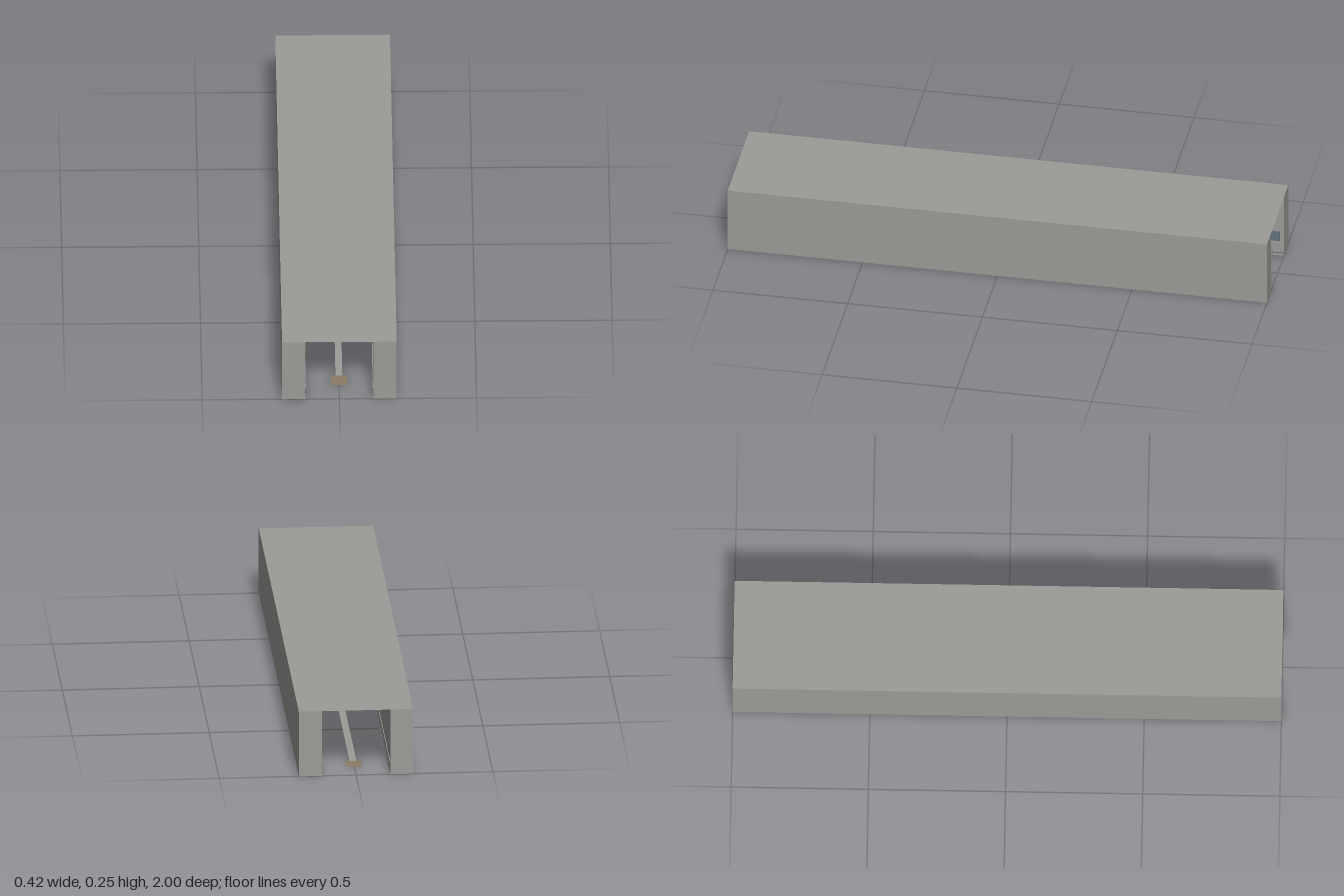
import * as THREE from 'three';

export function createModel() {
  const root = new THREE.Group();
  root.name = 'corridor';

  const make = (name, color, extra = {}) =>
    Object.assign(new THREE.MeshStandardMaterial({ color, ...extra }), { name });
  const concrete = make('concrete grey', 0x9c9b97);
  const sheet = make('sheet grey', 0x9c9b97, { side: THREE.DoubleSide });
  const steel = make('steel blue', 0x5a6165);
  const signBlue = make('sign blue', 0x64737e);
  const tan = make('tan', 0x8c7c66);
  const tanSheet = make('tan sheet', 0x8c7c66, { side: THREE.DoubleSide });

  const box = (parent, name, mat, w, h, d, x, y, z) => {
    const m = new THREE.Mesh(new THREE.BoxGeometry(w, h, d), mat);
    m.name = name;
    m.position.set(x, y, z);
    parent.add(m);
    return m;
  };
  const flat = (name, mat, w, d, y, z) => {
    const m = new THREE.Mesh(new THREE.PlaneGeometry(w, d).rotateX(-Math.PI / 2), mat);
    m.name = name;
    m.position.set(0, y, z);
    root.add(m);
  };

  // Thick side walls with rails and signs; the second is the first turned half way round
  for (const angle of [0, Math.PI]) {
    const side = new THREE.Group();
    side.name = angle ? 'leftSide' : 'rightSide';
    side.rotation.y = angle;
    box(side, 'wall', concrete, 0.084, 0.25, 2, -0.167, 0.125, 0);
    box(side, 'handRail', concrete, 0.003, 0.004, 2, -0.1238, 0.051, 0);
    box(side, 'skirting', concrete, 0.003, 0.009, 2, -0.1238, 0.0045, 0);
    box(side, 'skirtingStripe', steel, 0.002, 0.002, 2, -0.1243, 0.01, 0);
    // Thin wall plates
    box(side, 'bluePlate', signBlue, 0.002, 0.036, 0.05, -0.1245, 0.08, 0.295);
    box(side, 'bluePlate', signBlue, 0.002, 0.04, 0.055, -0.1245, 0.08, -0.957);
    box(side, 'tanPlate', tan, 0.002, 0.045, 0.07, -0.1245, 0.2, 0.96);
    root.add(side);
  }

  // Roof sheet
  flat('roof', sheet, 0.418, 2, 0.25, 0);

  // Floor strip with a square pad at each end
  flat('floorStrip', sheet, 0.025, 1.7, 0.001, 0);
  for (const s of [1, -1]) {
    flat('floorPad', tanSheet, 0.06, 0.06, 0.001, s * 0.88);
    // Small ceiling signs near each opening
    box(root, 'ceilingSign', concrete, 0.058, 0.015, 0.008, 0, 0.2305, s * 0.885);
  }

  // Hanging panel half way along: dark front, pale back, thin lower ledge
  box(root, 'panelFront', steel, 0.16, 0.126, 0.004, 0, 0.142, 0.002);
  box(root, 'panelBack', concrete, 0.154, 0.12, 0.004, 0, 0.142, -0.002);
  box(root, 'panelLedge', steel, 0.164, 0.003, 0.012, 0, 0.0785, 0);
  for (const s of [1, -1]) {
    box(root, 'panelRim', steel, 0.003, 0.126, 0.01, s * 0.0785, 0.142, 0);
  }
  return root;
}
